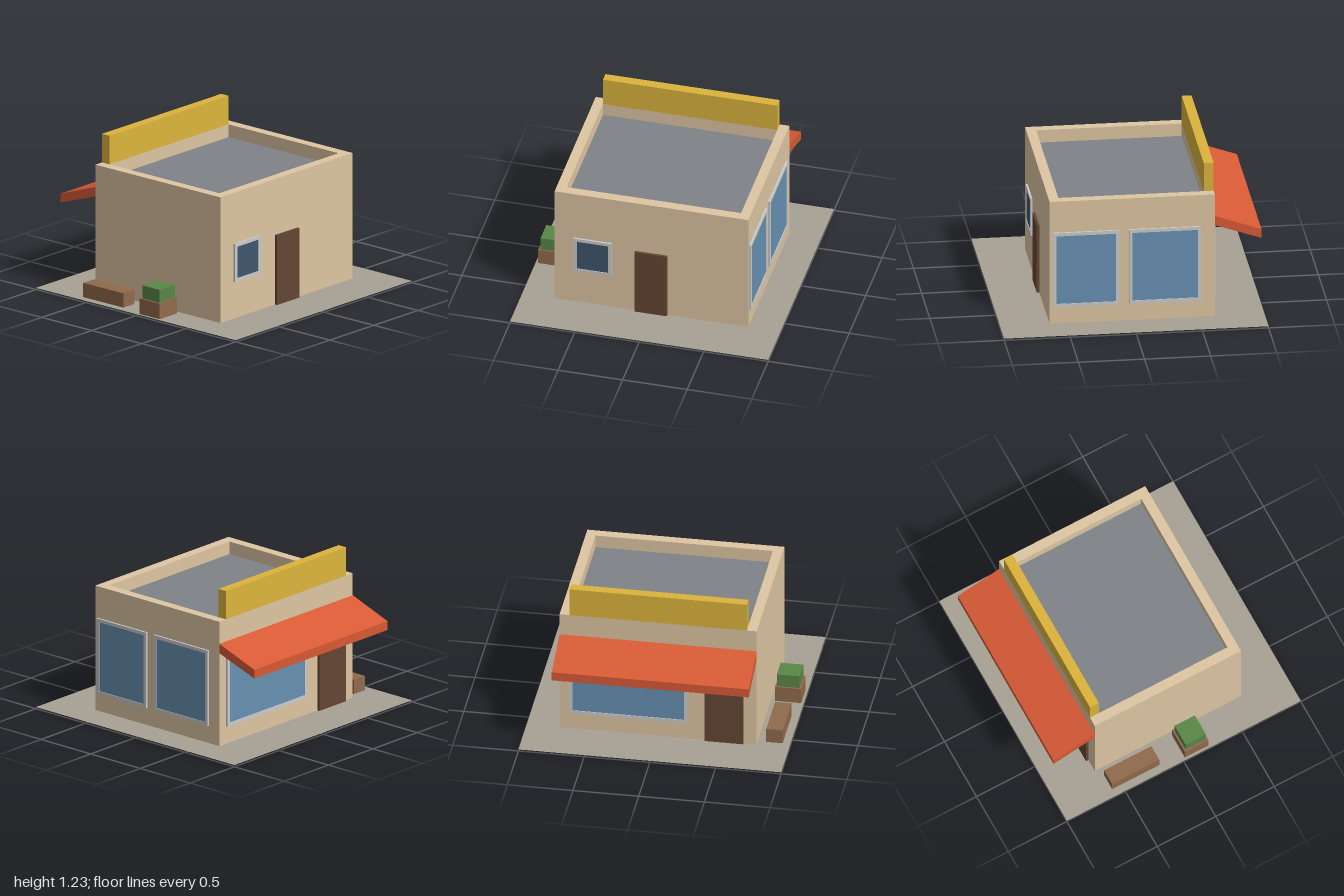
import * as THREE from 'three';

const COLORS = {
  wall: 0xdec6a2, roof: 0x7f8286, ground: 0xa8a093, frame: 0xd8d8d6, glass: 0x6790b2, darkGlass: 0x40566d,
  door: 0x634633, awning: 0xd85a35, sign: 0xdcb43c, wood: 0x906a4c, leaves: 0x588746,
};
const GROUND = 0.013;

function part(parent, name, geometry, color, doubleSided = false) {
  const material = new THREE.MeshStandardMaterial({ color: COLORS[color] });
  if (doubleSided) material.side = THREE.DoubleSide;
  const mesh = new THREE.Mesh(geometry, material);
  mesh.name = name;
  parent.add(mesh);
  return mesh;
}

// Box given by its extents along each axis
function box(parent, name, [x0, x1], [y0, y1], [z0, z1], color) {
  const mesh = part(parent, name, new THREE.BoxGeometry(x1 - x0, y1 - y0, z1 - z0), color);
  mesh.position.set((x0 + x1) / 2, (y0 + y1) / 2, (z0 + z1) / 2);
  return mesh;
}

function flat(parent, name, w, d, y, color) {
  const mesh = part(parent, name, new THREE.PlaneGeometry(w, d).rotateX(-Math.PI / 2), color, true);
  mesh.position.y = y;
}

// Rectangular loops [half x, half z, y] joined by flat-shaded quads
function rectLoft(loops) {
  const pos = [];
  const signs = [[1, 1], [1, -1], [-1, -1], [-1, 1]];
  const corner = ([hx, hz, y], k) => [signs[k % 4][0] * hx, y, signs[k % 4][1] * hz];
  for (let i = 0; i < loops.length - 1; i++) {
    for (let k = 0; k < 4; k++) {
      const a = corner(loops[i], k), b = corner(loops[i], k + 1);
      const c = corner(loops[i + 1], k + 1), d = corner(loops[i + 1], k);
      pos.push(...a, ...b, ...c, ...a, ...c, ...d);
    }
  }
  const g = new THREE.BufferGeometry();
  g.setAttribute('position', new THREE.Float32BufferAttribute(pos, 3));
  g.computeVertexNormals();
  return g;
}

// Framed window facing +z, its back on the wall
function makeWindow(name, w, h, glassColor) {
  const win = new THREE.Group();
  win.name = name;
  const border = 0.026;
  const rect = (Type, hw, hh) => new Type([[-hw, -hh], [hw, -hh], [hw, hh], [-hw, hh]].map(p => new THREE.Vector2(...p)));
  const shape = rect(THREE.Shape, w / 2, h / 2);
  shape.holes.push(rect(THREE.Path, w / 2 - border, h / 2 - border));
  part(win, 'windowFrame', new THREE.ExtrudeGeometry(shape, { depth: 0.015, bevelEnabled: false }), 'frame');
  const inner = [w / 2 - border, h / 2 - border];
  box(win, 'windowGlass', [-inner[0], inner[0]], [-inner[1], inner[1]], [0, 0.01], glassColor);
  return win;
}

export function createModel() {
  const model = new THREE.Group();
  model.name = 'shop';

  flat(model, 'ground', 2, 2, GROUND, 'ground');

  // Outer walls, parapet top and its inner faces
  part(model, 'walls', rectLoft([[0.75, 0.625, 0], [0.75, 0.625, 1], [0.675, 0.55, 1], [0.675, 0.55, 0.9]]), 'wall', true);
  flat(model, 'roof', 1.35, 1.1, 0.9, 'roof');
  box(model, 'signBoard', [-0.675, 0.675], [1, 1.225], [-0.625, -0.55], 'sign');

  // Windows: position on the wall, turn, size
  const windows = [
    ['frontWindow', [-0.453, 0.45, 0.625], 0, 0.295, 0.3, 'darkGlass'],
    ['sideWindowFront', [0.75, 0.45, 0.35], Math.PI / 2, 0.5, 0.6, 'glass'],
    ['sideWindowBack', [0.75, 0.45, -0.248], Math.PI / 2, 0.545, 0.6, 'glass'],
    ['shopWindow', [0.225, 0.45, -0.625], Math.PI, 0.9, 0.6, 'glass'],
  ];
  for (const [name, position, turn, w, h, glass] of windows) {
    const win = makeWindow(name, w, h, glass);
    win.position.set(...position);
    win.rotation.y = turn;
    model.add(win);
  }

  // Doors
  box(model, 'frontDoor', [-0.127, 0.123], [GROUND, 0.56], [0.62, 0.645], 'door');
  box(model, 'shopDoor', [-0.65, -0.355], [GROUND, 0.66], [-0.645, -0.62], 'door');

  // Sloping awning: a side profile (back distance, height) swept across the width
  const profile = [[0.625, 0.75], [0.977, 0.63], [0.977, 0.7], [0.625, 0.825]].map(p => new THREE.Vector2(...p));
  const awning = new THREE.ExtrudeGeometry(new THREE.Shape(profile), { depth: 1.5, bevelEnabled: false });
  awning.translate(0, 0, -0.75).rotateY(Math.PI / 2);
  part(model, 'awning', awning, 'awning');

  // Bench and planter beside the wall
  box(model, 'bench', [-0.94, -0.815], [GROUND, 0.125], [-0.58, -0.177], 'wood');
  box(model, 'planterBox', [-0.98, -0.78], [GROUND, 0.135], [0.02, 0.22], 'wood');
  box(model, 'planterShrub', [-0.965, -0.792], [0.13, 0.237], [0.034, 0.208], 'leaves');

  return model;
}
